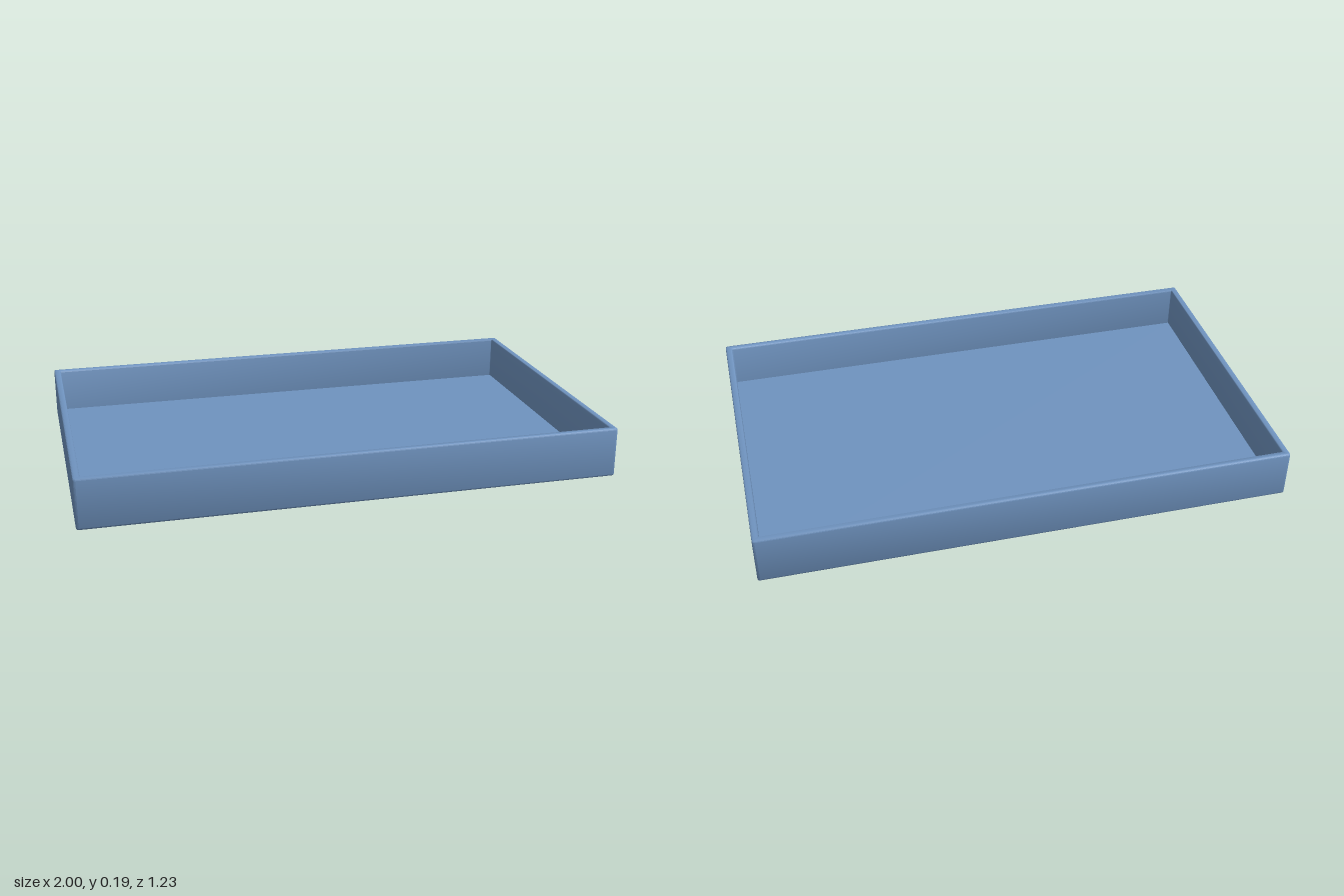
import * as THREE from 'three';
import { toCreasedNormals } from 'three/addons/utils/BufferGeometryUtils.js';

const HALF_X = 1, HALF_Z = 0.617, HEIGHT = 0.19;
const WALL = 0.026, FLOOR = 0.018, BEVEL = 0.007, STEPS = 3;

// Rounded rectangle loop, pulled in from the outer edge by inset
function ring(inset, y) {
  const r = Math.max(0.009 - inset, 0.003);
  const points = [];
  for (let q = 0; q < 4; q++) {
    const sx = q === 0 || q === 3 ? 1 : -1;
    const sz = q < 2 ? 1 : -1;
    for (let k = 0; k <= STEPS; k++) {
      const a = (q + k / STEPS) * Math.PI / 2;
      points.push([
        sx * (HALF_X - inset - r) + r * Math.cos(a), y,
        sz * (HALF_Z - inset - r) + r * Math.sin(a),
      ]);
    }
  }
  return points;
}

// Quarter-circle edge in the wall section: [inset, y] points
function edge(cx, cy, start, end) {
  return Array.from({ length: STEPS + 1 }, (_, k) => {
    const a = THREE.MathUtils.lerp(start, end, k / STEPS);
    return [cx + BEVEL * Math.cos(a), cy + BEVEL * Math.sin(a)];
  });
}

// Closed shell: underside, outer wall, rounded rim, inner wall, floor
function trayGeometry() {
  const profile = [
    ...edge(BEVEL, BEVEL, -Math.PI / 2, -Math.PI),
    ...edge(BEVEL, HEIGHT - BEVEL, Math.PI, Math.PI / 2),
    ...edge(WALL - BEVEL, HEIGHT - BEVEL, Math.PI / 2, 0),
    [WALL, FLOOR],
  ];
  const rings = profile.map(([inset, y]) => ring(inset, y));
  const n = rings[0].length, last = rings.length - 1;
  const positions = [...rings.flat(), [0, 0, 0], [0, FLOOR, 0]].flat();
  const under = rings.length * n, top = under + 1;
  const index = [];
  for (let j = 0; j < n; j++) {
    const k = (j + 1) % n;
    index.push(under, j, k, top, last * n + k, last * n + j);
    for (let i = 0; i < last; i++) {
      const a = i * n + j, b = i * n + k;
      index.push(a, a + n, b, b, a + n, b + n);
    }
  }
  const geometry = new THREE.BufferGeometry();
  geometry.setAttribute('position', new THREE.Float32BufferAttribute(positions, 3));
  geometry.setIndex(index);
  return toCreasedNormals(geometry, 0.7);
}

export function createModel() {
  const group = new THREE.Group();
  group.name = 'openTray';
  const tray = new THREE.Mesh(trayGeometry(), new THREE.MeshStandardMaterial({ color: 0x6f93bf }));
  tray.name = 'trayShell';
  group.add(tray);
  return group;
}
